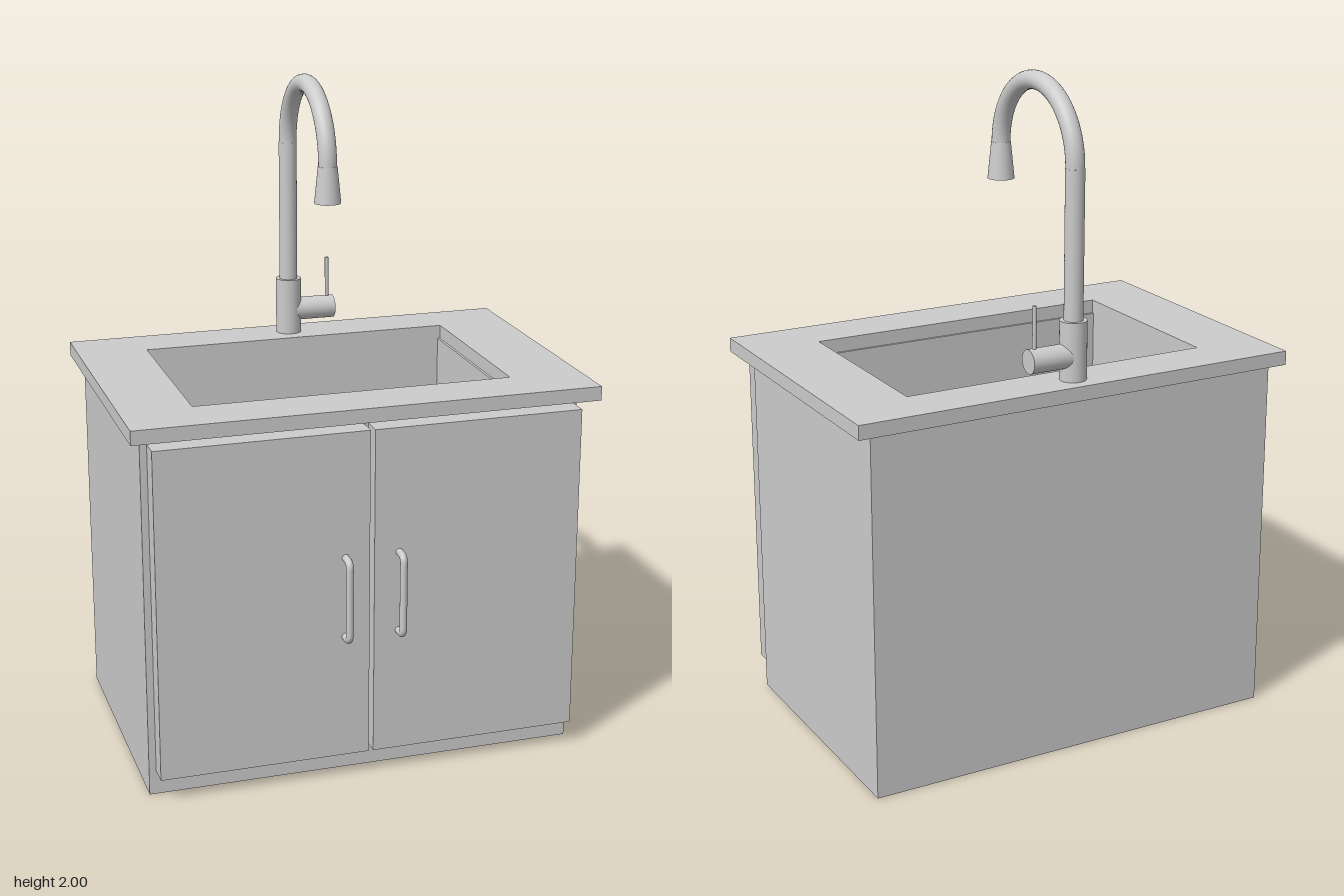
import * as THREE from 'three';

const CX = -0.008; // shared centre line of cabinet, basin and faucet
const TAP_Z = -0.413;

export function createModel() {
  const root = new THREE.Group();
  root.name = 'sinkCabinet';
  const mat = new THREE.MeshStandardMaterial({ color: 0xcccccc });

  const add = (name, geometry, parent = root) => {
    const mesh = new THREE.Mesh(geometry, mat);
    mesh.name = name;
    parent.add(mesh);
    return mesh;
  };
  const group = (name) => {
    const g = new THREE.Group();
    g.name = name;
    root.add(g);
    return g;
  };
  // Box given by its limits on each axis
  const box = (name, [x0, x1], [y0, y1], [z0, z1], parent) => {
    const mesh = add(name, new THREE.BoxGeometry(x1 - x0, y1 - y0, z1 - z0), parent);
    mesh.position.set((x0 + x1) / 2, (y0 + y1) / 2, (z0 + z1) / 2);
    return mesh;
  };
  const cylinder = (name, rTop, rBottom, y0, y1, x, z, parent) => {
    const mesh = add(name, new THREE.CylinderGeometry(rTop, rBottom, y1 - y0, 32), parent);
    mesh.position.set(x, (y0 + y1) / 2, z);
    return mesh;
  };

  // Carcass: panels around a hollow, with rails above and below the doors
  const carcass = group('carcass');
  const L = -0.666, R = 0.65, B = -0.453, F = 0.373, H = 1.107, T = 0.04;
  box('sidePanelRight', [L, L + T], [0, H], [B, F], carcass);
  box('sidePanelLeft', [R - T, R], [0, H], [B, F], carcass);
  box('backPanel', [L + T, R - T], [0, H], [B, B + T], carcass);
  box('bottomPanel', [L + T, R - T], [0, 0.08], [B + T, F], carcass);
  box('topRail', [L + T, R - T], [1.035, H], [F - T, F], carcass);

  // Countertop with a rectangular opening
  const rect = (Type, x0, x1, z0, z1) => new Type([
    new THREE.Vector2(x0, -z1), new THREE.Vector2(x1, -z1),
    new THREE.Vector2(x1, -z0), new THREE.Vector2(x0, -z0),
  ]);
  const slab = rect(THREE.Shape, -0.703, 0.7, -0.488, 0.438);
  slab.holes.push(rect(THREE.Path, -0.49, 0.478, -0.33, 0.272));
  const top = add('countertop', new THREE.ExtrudeGeometry(slab, { depth: 0.043, bevelEnabled: false }));
  top.rotation.x = -Math.PI / 2;
  top.position.y = H;

  // Basin: four walls, a floor and a round drain
  const basin = group('basin');
  const bx = [-0.49, 0.47], bz = [-0.33, 0.265], by = [0.77, H], w = 0.012;
  box('basinWallRight', [bx[0] - w, bx[0]], by, bz, basin);
  box('basinWallLeft', [bx[1], bx[1] + w], by, bz, basin);
  box('basinWallBack', [bx[0] - w, bx[1] + w], by, [bz[0] - w, bz[0]], basin);
  box('basinWallFront', [bx[0] - w, bx[1] + w], by, [bz[1], bz[1] + w], basin);
  box('basinFloor', [bx[0] - w, bx[1] + w], [0.76, 0.77], [bz[0] - w, bz[1] + w], basin);
  cylinder('drain', 0.075, 0.075, 0.757, 0.773, CX, -0.047, basin);

  // Doors, each with a bent bar handle
  const V = (x, y, z) => new THREE.Vector3(x, y, z);
  const barPath = (x) => {
    const y0 = 0.457, y1 = 0.704, z0 = 0.435, z1 = 0.479, r = 0.022;
    const path = new THREE.CurvePath();
    path.add(new THREE.LineCurve3(V(x, y0, z0), V(x, y0, z1 - r)));
    path.add(new THREE.QuadraticBezierCurve3(V(x, y0, z1 - r), V(x, y0, z1), V(x, y0 + r, z1)));
    path.add(new THREE.LineCurve3(V(x, y0 + r, z1), V(x, y1 - r, z1)));
    path.add(new THREE.QuadraticBezierCurve3(V(x, y1 - r, z1), V(x, y1, z1), V(x, y1, z1 - r)));
    path.add(new THREE.LineCurve3(V(x, y1, z1 - r), V(x, y1, z0)));
    return path;
  };
  for (const [side, x0, x1, hx] of [['Right', -0.645, -0.011, -0.085], ['Left', 0.003, 0.64, 0.079]]) {
    box('door' + side, [x0, x1], [0.075, 1.085], [F, 0.438]);
    add('doorHandle' + side, new THREE.TubeGeometry(barPath(hx), 90, 0.011, 16));
  }

  // Faucet: body, gooseneck pipe and flared spout
  const faucet = group('faucet');
  cylinder('faucetBody', 0.04, 0.04, 1.15, 1.325, CX, TAP_Z, faucet);
  cylinder('faucetPipe', 0.028, 0.028, 1.32, 1.76, CX, TAP_Z, faucet);
  const bend = 0.2125;
  const arch = add('faucetArch', new THREE.TorusGeometry(bend, 0.0275, 24, 40, Math.PI), faucet);
  arch.rotation.y = Math.PI / 2;
  arch.position.set(CX, 1.76, TAP_Z + bend);
  cylinder('spoutHead', 0.029, 0.04, 1.653, 1.762, CX, TAP_Z + 2 * bend, faucet);

  // Mixer valve on the left of the body, with an upright lever
  const valve = add('mixerValve', new THREE.CylinderGeometry(0.036, 0.036, 0.146, 32), faucet);
  valve.rotation.z = Math.PI / 2;
  valve.position.set(0.065, 1.222, TAP_Z);
  cylinder('mixerLever', 0.006, 0.006, 1.24, 1.383, 0.119, TAP_Z, faucet);

  return root;
}
